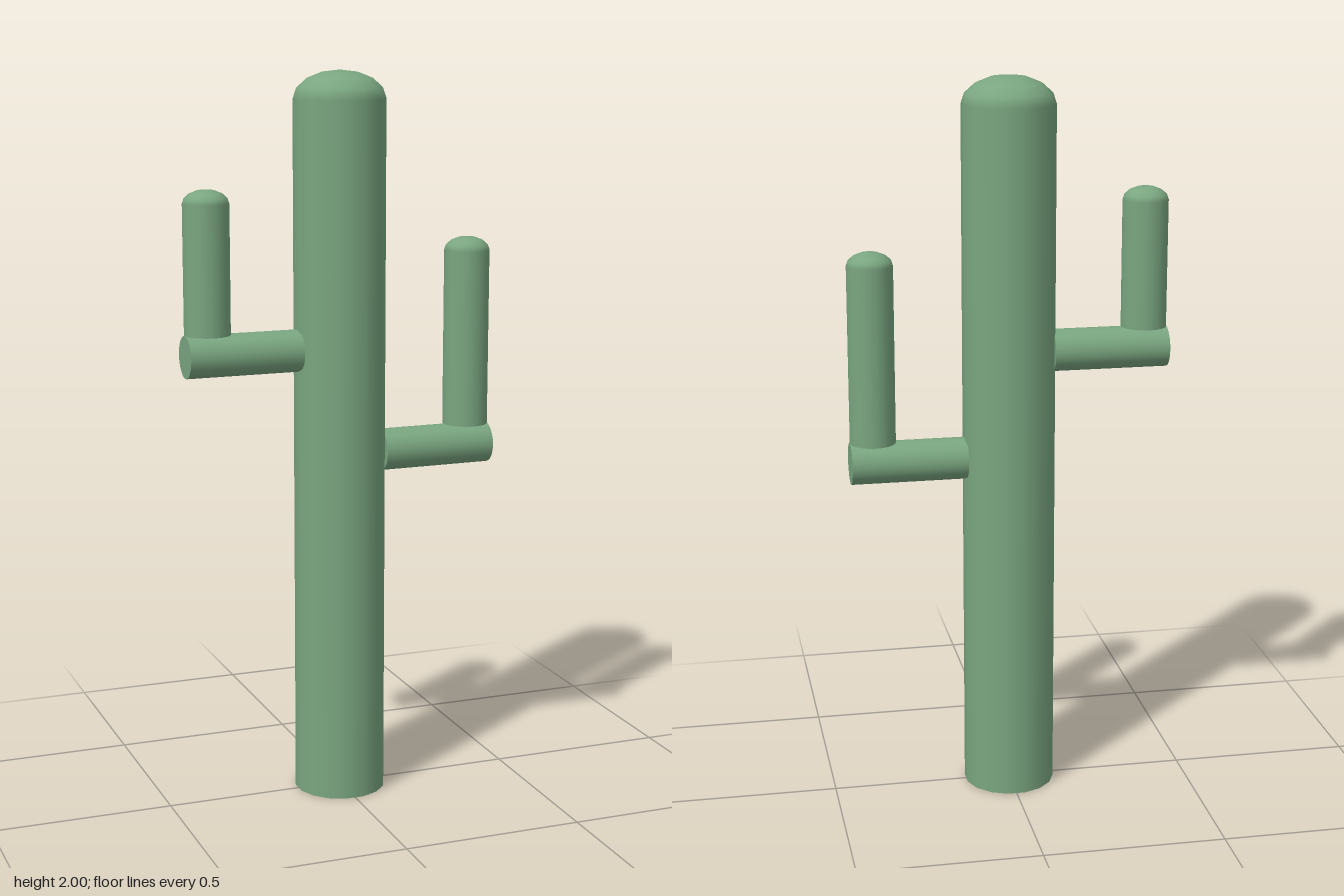
import * as THREE from 'three';

const material = new THREE.MeshStandardMaterial({ color: 0x7aa680 });

function addMesh(parent, name, geometry, x, y) {
  const mesh = new THREE.Mesh(geometry, material);
  mesh.name = name;
  mesh.position.set(x, y, 0);
  parent.add(mesh);
  return mesh;
}

// Upright stem with a flattened dome on top
function addStem(parent, name, radius, x, bottom, top, sides) {
  const height = top - bottom;
  const turn = Math.PI / sides;
  const stem = new THREE.CylinderGeometry(radius, radius, height, sides, 1, false, turn);
  addMesh(parent, name, stem, x, bottom + height / 2);
  const dome = new THREE.SphereGeometry(radius, sides, 4, turn, Math.PI * 2, 0, Math.PI / 2);
  dome.scale(1, 0.6, 1);
  addMesh(parent, name + 'Dome', dome, x, top);
}

// Horizontal branch carrying an upright stem at its outer end
function addArm(parent, name, side, branchY, top) {
  const arm = new THREE.Group();
  arm.name = name;
  const r = 0.0575, inner = 0.12, outer = 0.4375;
  const branch = new THREE.CylinderGeometry(r, r, outer - inner, 24);
  branch.rotateZ(Math.PI / 2);
  addMesh(arm, name + 'Branch', branch, side * (inner + outer) / 2, branchY);
  addStem(arm, name + 'Stem', 0.0625, side * 0.375, branchY + r, top, 24);
  parent.add(arm);
}

export function createModel() {
  const cactus = new THREE.Group();
  cactus.name = 'cactus';
  addStem(cactus, 'trunk', 0.1265, 0, 0, 1.925, 16);
  addArm(cactus, 'leftArm', 1, 0.9625, 1.507);
  addArm(cactus, 'rightArm', -1, 1.255, 1.66);
  return cactus;
}
